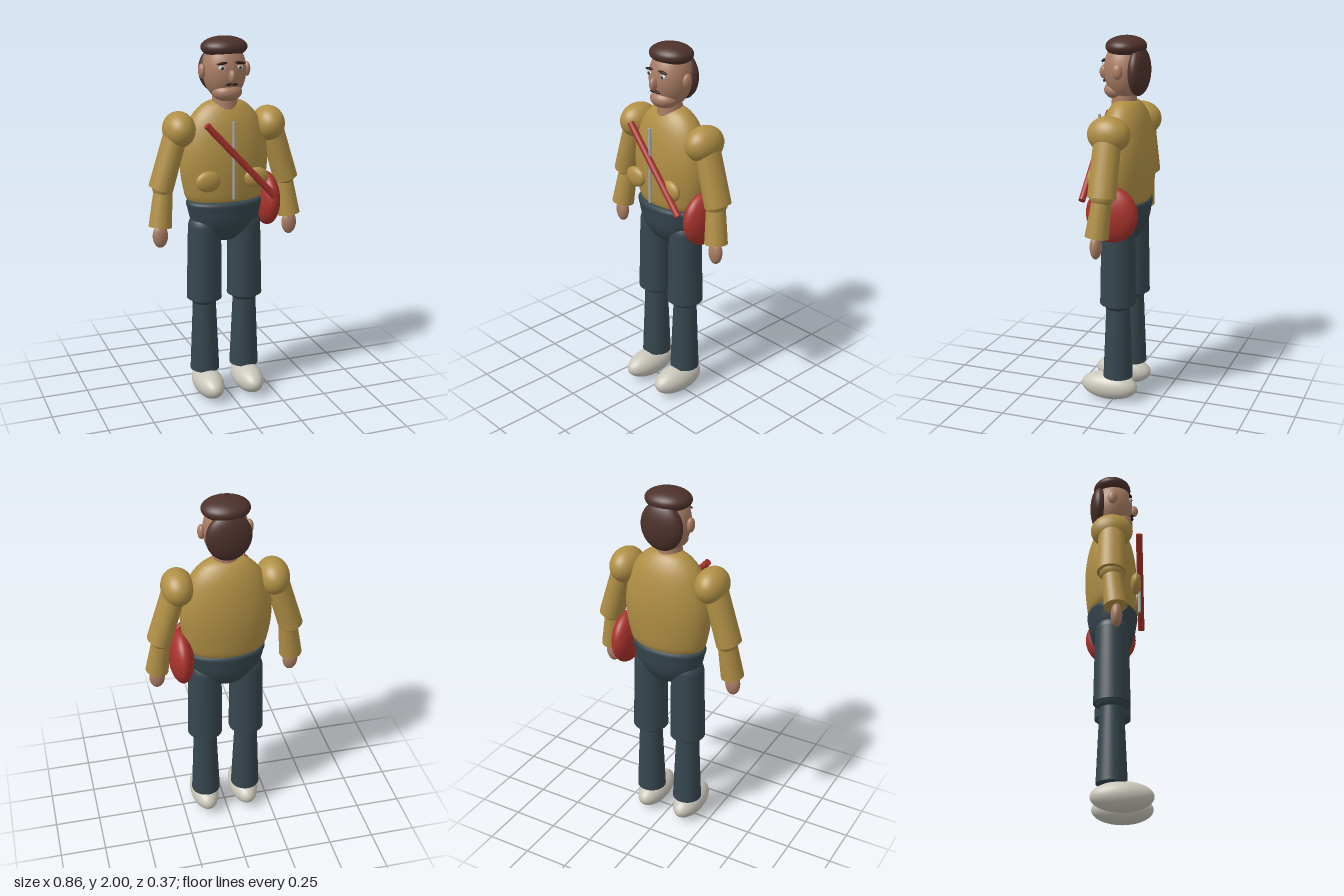
import * as THREE from 'three';

const mat = (name, color) => {
  const m = new THREE.MeshStandardMaterial({ color });
  m.name = name;
  return m;
};

export function createModel() {
  const jacket = mat('mustard jacket', 0xb08f45);
  const trousers = mat('slate trousers', 0x36464e);
  const skin = mat('skin', 0xa97d64);
  const hair = mat('brown hair', 0x4d312b);
  const red = mat('red bag', 0xa8322c);
  const shoe = mat('pale shoe', 0xc9c6bb);
  const metal = mat('zip metal', 0xa9abad);
  const eyeWhite = mat('eye white', 0xd8d8d4);
  const iris = mat('blue iris', 0x4a7088);
  const dark = mat('dark brow', 0x2c1c18);

  const model = new THREE.Group();
  model.name = 'standingMan';
  const Z = -0.027; // body axis depth

  const add = (name, geometry, material, parent = model) => {
    const mesh = new THREE.Mesh(geometry, material);
    mesh.name = name;
    parent.add(mesh);
    return mesh;
  };

  // Ellipsoid from centre and radii
  const ball = (name, material, pos, radii, parent = model) => {
    const mesh = add(name, new THREE.SphereGeometry(1, 40, 28), material, parent);
    mesh.position.set(...pos);
    mesh.scale.set(...radii);
    return mesh;
  };

  // Tapered limb running from point a to point b
  const limb = (name, material, a, b, ra, rb, parent = model, depth = 1) => {
    const from = new THREE.Vector3(...a), to = new THREE.Vector3(...b);
    const dir = from.clone().sub(to);
    const mesh = add(name, new THREE.CylinderGeometry(ra, rb, dir.length(), 36), material, parent);
    mesh.position.copy(from).add(to).multiplyScalar(0.5);
    mesh.quaternion.setFromUnitVectors(new THREE.Vector3(0, 1, 0), dir.normalize());
    mesh.scale.z = depth;
    return mesh;
  };

  // Smooth lathe through [radius, y] points, flattened front to back
  const lathe = (name, material, points, depth, z) => {
    const curve = new THREE.SplineCurve(points.map(p => new THREE.Vector2(...p)));
    const mesh = add(name, new THREE.LatheGeometry(curve.getPoints(32), 48), material);
    mesh.scale.z = depth;
    mesh.position.z = z;
    return mesh;
  };

  // Torso and hips
  lathe('torso', jacket, [[0.001, 1.125], [0.1, 1.125], [0.198, 1.127], [0.23, 1.21], [0.245, 1.34],
    [0.231, 1.46], [0.19, 1.57], [0.13, 1.64], [0.07, 1.668], [0.001, 1.675]], 0.585, -0.035);
  lathe('hips', trousers, [[0.001, 0.89], [0.06, 0.9], [0.125, 0.935], [0.18, 1.0], [0.205, 1.08],
    [0.206, 1.13], [0.1, 1.133], [0.001, 1.133]], 0.64, Z);

  // Head
  limb('neck', skin, [0, 1.73, -0.02], [0, 1.62, -0.02], 0.063, 0.07);
  const head = new THREE.Group();
  head.name = 'head';
  model.add(head);
  ball('skull', skin, [0, 1.825, -0.025], [0.116, 0.157, 0.112], head);
  ball('jaw', skin, [0, 1.717, 0.018], [0.08, 0.05, 0.07], head);
  ball('nose', skin, [0, 1.806, 0.094], [0.018, 0.035, 0.025], head);
  ball('hairCap', hair, [0, 1.945, -0.03], [0.125, 0.056, 0.106], head);
  ball('backHair', hair, [0, 1.82, -0.1], [0.118, 0.13, 0.055], head);

  for (const s of [-1, 1]) {
    const side = s > 0 ? 'left' : 'right';

    // Face details
    ball(side + 'Ear', skin, [s * 0.124, 1.825, -0.025], [0.019, 0.039, 0.028], head);
    ball(side + 'Eye', eyeWhite, [s * 0.049, 1.851, 0.075], [0.018, 0.011, 0.008], head);
    ball(side + 'Iris', iris, [s * 0.049, 1.851, 0.081], [0.009, 0.01, 0.004], head);
    ball(side + 'Pupil', dark, [s * 0.049, 1.851, 0.0845], [0.004, 0.005, 0.002], head);
    ball(side + 'Brow', dark, [s * 0.048, 1.874, 0.075], [0.032, 0.007, 0.009], head).rotation.z = -s * 0.1;
    ball(side + 'Moustache', dark, [s * 0.017, 1.765, 0.084], [0.019, 0.007, 0.008], head).rotation.z = -s * 0.1;

    // Arm
    const arm = new THREE.Group();
    arm.name = side + 'Arm';
    model.add(arm);
    ball('shoulder', jacket, [s * 0.252, 1.525, Z], [0.086, 0.095, 0.114], arm);
    limb('upperSleeve', jacket, [s * 0.268, 1.51, Z], [s * 0.357, 1.214, Z], 0.063, 0.066, arm, 1.14);
    ball('elbow', jacket, [s * 0.346, 1.225, -0.025], [0.058, 0.058, 0.065], arm);
    limb('lowerSleeve', jacket, [s * 0.343, 1.22, -0.025], [s * 0.371, 1.01, -0.004], 0.05, 0.062, arm);
    ball('hand', skin, [s * 0.372, 0.96, 0], [0.042, 0.065, 0.03], arm);

    // Leg
    const leg = new THREE.Group();
    leg.name = side + 'Leg';
    model.add(leg);
    ball('thighTop', trousers, [s * 0.114, 0.98, Z], [0.09, 0.09, 0.09], leg);
    limb('thigh', trousers, [s * 0.114, 0.99, Z], [s * 0.118, 0.572, Z], 0.09, 0.097, leg);
    ball('knee', trousers, [s * 0.118, 0.585, Z], [0.085, 0.06, 0.085], leg);
    limb('shin', trousers, [s * 0.118, 0.57, Z], [s * 0.117, 0.145, Z], 0.063, 0.081, leg);
    ball('shoe', shoe, [s * 0.117, 0.078, 0.025], [0.08, 0.078, 0.162], leg);

    // Jacket pocket
    ball(side + 'Pocket', jacket, [s * 0.135, 1.263, 0.102], [0.068, 0.056, 0.029]);
  }

  // Zip, shoulder strap and bag
  limb('zip', metal, [0, 1.577, 0.122], [0, 1.16, 0.122], 0.008, 0.008);
  limb('strap', red, [-0.149, 1.568, 0.122], [0.229, 1.158, 0.134], 0.018, 0.018);
  ball('bag', red, [0.246, 1.104, -0.04], [0.066, 0.15, 0.142]);

  return model;
}
